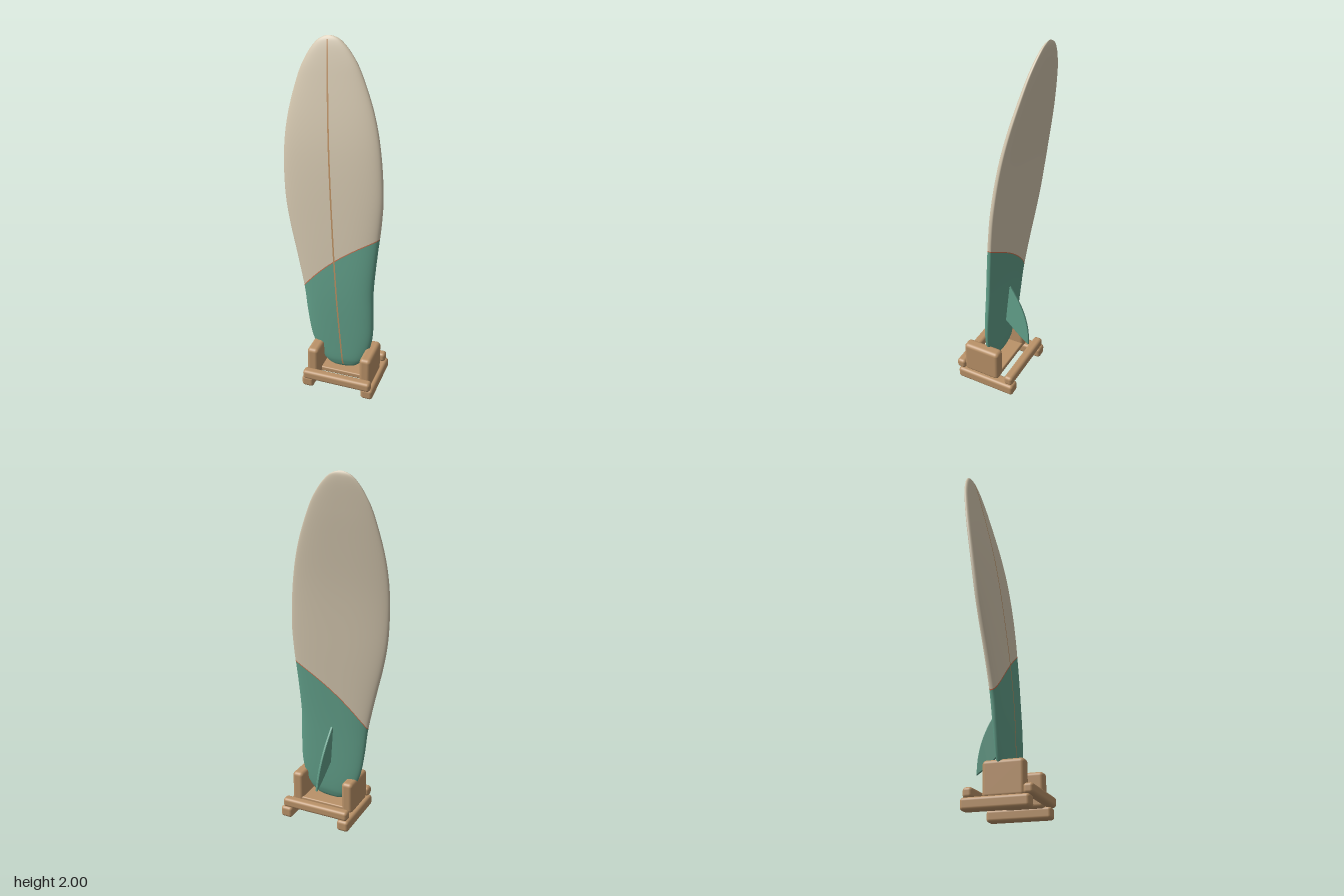
import * as THREE from 'three';
import { RoundedBoxGeometry } from 'three/addons/geometries/RoundedBoxGeometry.js';

const mat = (name, color, side = THREE.FrontSide) => {
  const m = new THREE.MeshStandardMaterial({ color, side });
  m.name = name;
  return m;
};

// Smooth function through [position, value] pairs
function profile(pairs) {
  const pts = new THREE.SplineCurve(pairs.map(p => new THREE.Vector2(...p))).getPoints(600);
  return v => {
    let i = 1;
    while (i < pts.length - 1 && pts[i].x < v) i++;
    const a = pts[i - 1], b = pts[i];
    const t = THREE.MathUtils.clamp((v - a.x) / (b.x - a.x || 1), 0, 1);
    return a.y + (b.y - a.y) * t;
  };
}

const LENGTH = 1.918;
const halfWidth = profile([[0, 0], [0.012, 0.066], [0.045, 0.112], [0.095, 0.147], [0.165, 0.176],
  [0.245, 0.193], [0.37, 0.203], [0.52, 0.211], [0.72, 0.24], [0.92, 0.273], [1.09, 0.288],
  [1.32, 0.28], [1.52, 0.247], [1.72, 0.182], [1.82, 0.13], [1.885, 0.077], [1.91, 0.036], [LENGTH, 0]]);
const halfThick = profile([[0, 0], [0.03, 0.017], [0.12, 0.028], [0.5, 0.038], [0.9, 0.04],
  [1.32, 0.035], [1.6, 0.028], [1.8, 0.02], [1.89, 0.012], [LENGTH, 0]]);
const middle = profile([[0, 0.016], [0.115, 0.013], [0.5, 0.002], [0.9, -0.03], [1.32, -0.075],
  [1.72, -0.143], [LENGTH, -0.179]]);

// Rails sit behind the middle, so the deck is domed and the underside flatter
const rail = v => middle(v) - 0.25 * halfThick(v);
const deck = v => middle(v) + halfThick(v);

// Diagonal, slightly curved border between the two paint colours
const border = e => 0.703 + 0.1565 * e - 0.0255 * e * e;

// Closed skin between two lengthwise limits, given for each side position e
function boardSkin(from, to, rows, ease) {
  const cols = 72, pos = [], index = [];
  for (let i = 0; i <= rows; i++) {
    for (let j = 0; j < cols; j++) {
      const a = (j / cols) * Math.PI * 2, c = Math.cos(a), s = Math.sin(a);
      const e = Math.sign(c) * Math.abs(c) ** 0.8;
      const v = THREE.MathUtils.lerp(from(e), to(e), ease(i / rows));
      const z = Math.sign(s) * Math.abs(s) ** 0.8 * halfThick(v) * (s > 0 ? 1.25 : 0.75);
      pos.push(e * halfWidth(v), v, rail(v) + z);
      if (i < rows) {
        const k = (j + 1) % cols, p = i * cols, q = p + cols;
        index.push(p + j, q + j, q + k, p + j, q + k, p + k);
      }
    }
  }
  const g = new THREE.BufferGeometry();
  g.setAttribute('position', new THREE.Float32BufferAttribute(pos, 3));
  g.setIndex(index);
  g.computeVertexNormals();
  return g;
}

// Thin strip along the middle of the deck
function stringerGeometry(width) {
  const n = 80, g = new THREE.PlaneGeometry(width, 1, 1, n), p = g.attributes.position;
  for (let i = 0; i < p.count; i++) {
    const v = THREE.MathUtils.lerp(0.02, LENGTH - 0.02, p.getY(i) + 0.5);
    p.setXYZ(i, p.getX(i), v, deck(v) + 0.0015);
  }
  g.computeVertexNormals();
  return g;
}

// Swept fin outline, drawn as (distance behind, height)
function finGeometry() {
  const s = new THREE.Shape();
  s.moveTo(0.015, 0.485);
  s.lineTo(0.04, 0.482);
  s.bezierCurveTo(0.11, 0.39, 0.175, 0.29, 0.177, 0.13);
  s.bezierCurveTo(0.13, 0.155, 0.09, 0.19, 0.028, 0.243);
  s.lineTo(0.0, 0.25);
  const g = new THREE.ExtrudeGeometry(s, { depth: 0.006, bevelEnabled: true, bevelThickness: 0.004,
    bevelSize: 0.004, bevelOffset: -0.004, bevelSegments: 2, curveSegments: 16 });
  g.translate(0, 0, -0.003);
  g.rotateY(Math.PI / 2);
  return g;
}

export function createModel() {
  const model = new THREE.Group();
  model.name = 'surfboardOnStand';
  const cream = mat('cream', 0xd3c6ae);
  const teal = mat('teal', 0x62a08a);
  const coral = mat('coral', 0xc8704f);
  const stringerWood = mat('stringerWood', 0xbd9163, THREE.DoubleSide);
  const wood = mat('wood', 0xba9268);

  const add = (parent, name, geometry, material) => {
    const m = new THREE.Mesh(geometry, material);
    m.name = name;
    parent.add(m);
    return m;
  };

  // Board, tipped a little to its right
  const board = new THREE.Group();
  board.name = 'board';
  board.position.set(0.082, 0.086, 0);
  board.rotation.z = 0.09;
  model.add(board);
  const half = 0.003;
  add(board, 'tailHalf', boardSkin(() => 0, e => border(e) - half, 40, t => t * t), teal);
  add(board, 'pinline', boardSkin(e => border(e) - half, e => border(e) + half, 1, t => t), coral);
  add(board, 'noseHalf', boardSkin(e => border(e) + half, () => LENGTH, 56, t => 1 - (1 - t) ** 2), cream);
  add(board, 'stringer', stringerGeometry(0.009), stringerWood);
  add(board, 'fin', finGeometry(), teal);

  // Stand of rounded timber: limits given as [min, max] on each axis
  const stand = new THREE.Group();
  stand.name = 'stand';
  model.add(stand);
  const timber = (name, x, y, z, r) => {
    const size = [x, y, z].map(([a, b]) => b - a), mid = [x, y, z].map(([a, b]) => (a + b) / 2);
    add(stand, name, new RoundedBoxGeometry(...size, 4, r), wood).position.set(...mid);
  };
  const centre = 0.0865;
  for (const [side, s] of [['right', -1], ['left', 1]]) {
    const across = (inner, outer) => [centre + s * inner, centre + s * outer].sort((a, b) => a - b);
    timber(side + 'Runner', across(0.146, 0.218), [0, 0.066], [-0.188, 0.174], 0.018);
    timber(side + 'Upright', across(0.126, 0.195), [0.055, 0.246], [-0.082, 0.143], 0.022);
  }
  timber('frontCrossbar', [-0.12, 0.293], [0.062, 0.118], [0.135, 0.19], 0.018);
  timber('rearCrossbar', [-0.12, 0.293], [0.062, 0.118], [-0.18, -0.126], 0.018);
  timber('shelf', [-0.07, 0.243], [0.062, 0.092], [-0.078, 0.078], 0.008);
  return model;
}
